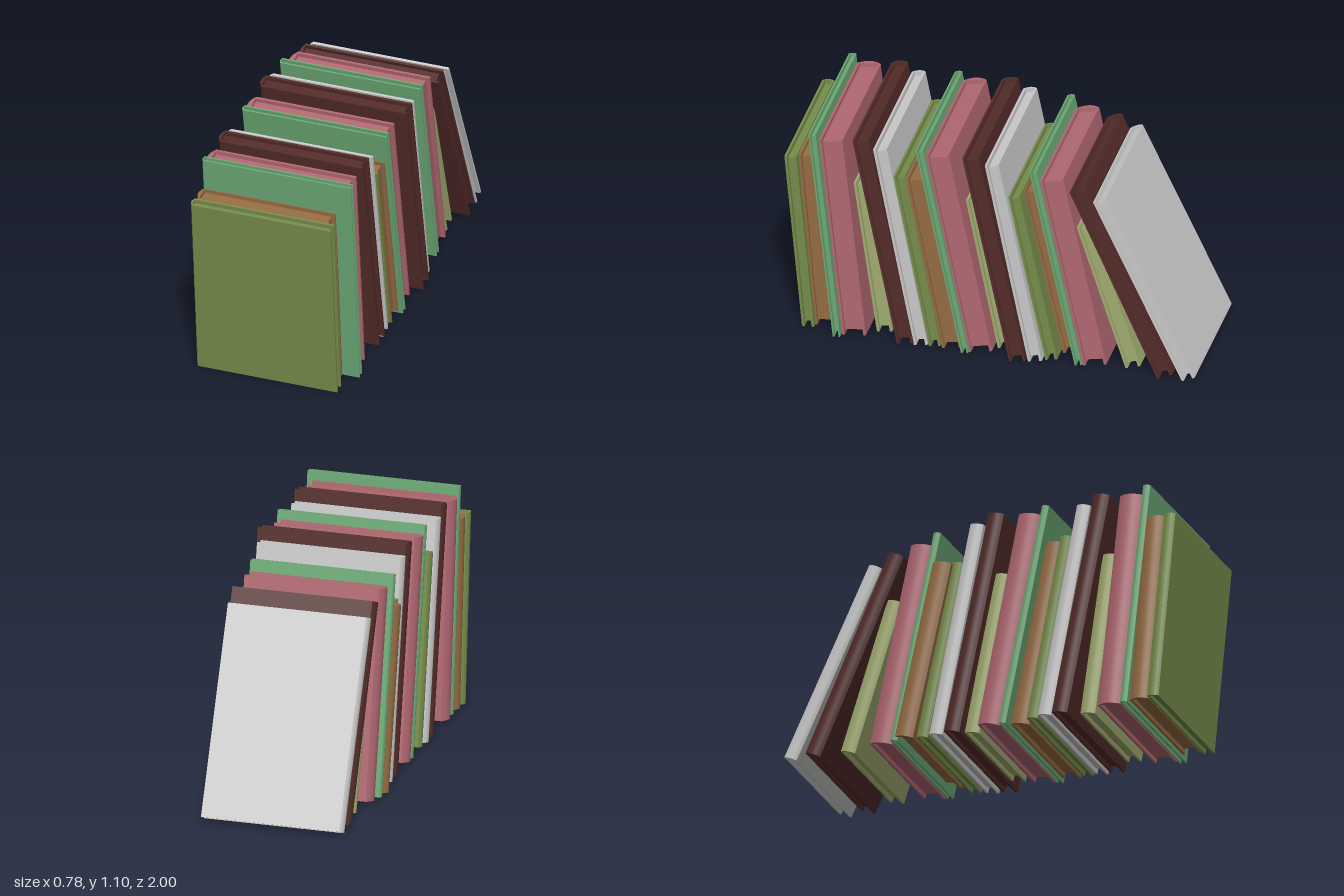
import * as THREE from 'three';
import { toCreasedNormals } from 'three/addons/utils/BufferGeometryUtils.js';

// Colour and thickness of each kind of book, in shelf order
const KINDS = [
  ['oliveBook', 0x788e4c, 0.058],
  ['brownBook', 0x986e44, 0.095],
  ['greenBook', 0x6dab76, 0.036],
  ['pinkBook', 0xb36973, 0.115],
  ['paleOliveBook', 0xa3ae72, 0.075],
  ['maroonBook', 0x542c29, 0.08],
  ['greyBook', 0xcccccc, 0.068],
];

// Front bottom z, front top z, highest y, spine x, fore edge x
const BOOKS = [
  [0.91, 0.996, 0.93, -0.365, 0.34],
  [0.855, 0.936, 0.935, -0.36, 0.31],
  [0.748, 0.866, 1.1, -0.355, 0.39],
  [0.71, 0.823, 1.07, -0.36, 0.36],
  [0.56, 0.673, 0.81, -0.3, 0.29],
  [0.442, 0.657, 1.1, -0.36, 0.37],
  [0.362, 0.56, 1.06, -0.36, 0.36],

  [0.292, 0.464, 0.92, -0.35, 0.35],
  [0.228, 0.405, 0.925, -0.31, 0.35],
  [0.131, 0.351, 1.09, -0.355, 0.37],
  [0.099, 0.308, 1.07, -0.36, 0.35],
  [-0.024, 0.131, 0.805, -0.31, 0.28],
  [-0.105, 0.121, 1.1, -0.36, 0.38],
  [-0.19, 0.019, 1.06, -0.36, 0.355],

  [-0.265, -0.083, 0.88, -0.355, 0.32],
  [-0.33, -0.135, 0.885, -0.39, 0.24],
  [-0.41, -0.19, 1.04, -0.375, 0.33],
  [-0.448, -0.239, 1.01, -0.36, 0.32],
  [-0.646, -0.41, 0.76, -0.33, 0.29],
  [-0.812, -0.389, 0.99, -0.36, 0.34],
  [-0.93, -0.5, 0.945, -0.36, 0.33],
];

// Cover: C-shaped section with a rounded spine, extruded up the book
function coverGeometry(x0, x1, t, h, bulge, board) {
  const s = new THREE.Shape();
  s.moveTo(x0 + bulge, 0);
  s.lineTo(x1, 0);
  s.lineTo(x1, board);
  s.lineTo(x0 + bulge, board);
  s.lineTo(x0 + bulge, t - board);
  s.lineTo(x1, t - board);
  s.lineTo(x1, t);
  s.lineTo(x0 + bulge, t);
  s.quadraticCurveTo(x0 - bulge, t / 2, x0 + bulge, 0);
  const geo = new THREE.ExtrudeGeometry(s, { depth: h, bevelEnabled: false, curveSegments: 10 });
  geo.rotateX(-Math.PI / 2);
  return toCreasedNormals(geo, 0.5);
}

function createBook([name, color, t], [zBottom, zTop, yTop, x0, x1]) {
  const book = new THREE.Group();
  book.name = name;
  const material = new THREE.MeshStandardMaterial({ color });

  // Lean and height follow from the front edge of the book
  const run = zTop - zBottom;
  const rise = yTop - t * Math.sin(Math.atan2(run, yTop));
  const h = Math.hypot(run, rise);
  const bulge = t * 0.2;
  const board = Math.min(0.012, t * 0.22);
  const inset = 0.02;

  const cover = new THREE.Mesh(coverGeometry(x0, x1, t, h, bulge, board), material);
  cover.name = 'cover';

  // Page block, set back from the cover on three sides
  const xStart = x0 + bulge;
  const width = x1 - inset - xStart;
  const pages = new THREE.Mesh(
    new THREE.BoxGeometry(width, h - 2 * inset, t - 2 * board), material);
  pages.position.set(xStart + width / 2, h / 2, -t / 2);
  pages.name = 'pages';

  book.add(cover, pages);
  book.rotation.set(Math.atan2(run, rise), 0.012, 0, 'YXZ');
  book.position.z = zBottom;
  return book;
}

export function createModel() {
  const row = new THREE.Group();
  row.name = 'bookRow';
  BOOKS.forEach((data, i) => row.add(createBook(KINDS[i % KINDS.length], data)));
  return row;
}
